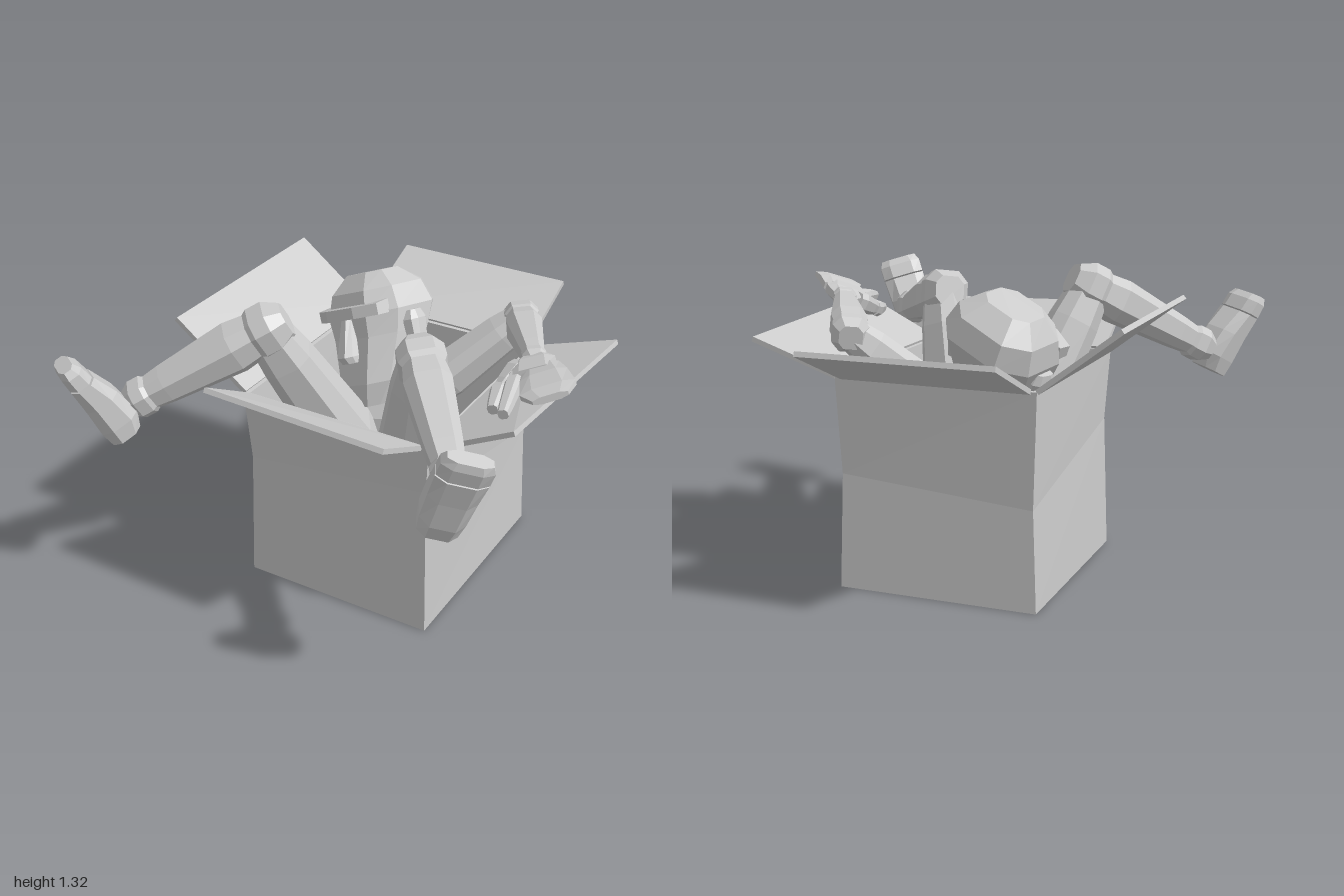
import * as THREE from 'three';
import { ConvexGeometry } from 'three/addons/geometries/ConvexGeometry.js';

const V = (x, y, z) => new THREE.Vector3(x, y, z);
const material = new THREE.MeshStandardMaterial({ color: 0xcccccc, flatShading: true });

// Skins a stack of equal rings and caps both ends.
function skin(rings) {
  const n = rings[0].length;
  const pos = [];
  const tri = (...pts) => pts.forEach((p) => pos.push(p.x, p.y, p.z));
  for (let r = 0; r + 1 < rings.length; r++) {
    for (let i = 0; i < n; i++) {
      const j = (i + 1) % n;
      const [a, b] = [rings[r], rings[r + 1]];
      tri(a[i], a[j], b[j]);
      tri(a[i], b[j], b[i]);
    }
  }
  const last = rings[rings.length - 1];
  for (let i = 1; i + 1 < n; i++) {
    tri(rings[0][0], rings[0][i + 1], rings[0][i]);
    tri(last[0], last[i], last[i + 1]);
  }
  const geo = new THREE.BufferGeometry();
  geo.setAttribute('position', new THREE.Float32BufferAttribute(pos, 3));
  geo.computeVertexNormals();
  return geo;
}

function add(parent, name, geo) {
  const mesh = new THREE.Mesh(geo, material);
  mesh.name = name;
  parent.add(mesh);
  return mesh;
}

// Chamfered block along local y; each section is [y, halfWidth, zBack, zFront].
function block(parent, name, sections) {
  return add(parent, name, skin(sections.map(([y, w, zb, zf]) => {
    const c = w * 0.55, m = (zb + zf) / 2, h = ((zf - zb) / 2) * 0.5;
    return [V(w, y, m + h), V(w, y, m - h), V(c, y, zb), V(-c, y, zb),
      V(-w, y, m - h), V(-w, y, m + h), V(-c, y, zf), V(c, y, zf)];
  })));
}

// Moves an object to origin with its y along dir and its z towards front.
function place(obj, origin, dir, front) {
  const y = dir.clone().normalize();
  const x = y.clone().cross(front).normalize();
  obj.quaternion.setFromRotationMatrix(new THREE.Matrix4().makeBasis(x, y, x.clone().cross(y)));
  obj.position.copy(origin);
  return obj;
}

// Tapered limb segment between two points.
function limb(parent, name, a, b, ra, rb, front = V(0, 1, 0.2)) {
  const d = b.clone().sub(a), l = d.length(), m = Math.max(ra, rb) * 1.03;
  place(block(parent, name, [[0, ra * 0.85, -ra * 0.85, ra * 0.85], [l * 0.25, m, -m, m],
    [l * 0.8, rb * 1.05, -rb * 1.05, rb * 1.05], [l, rb * 0.85, -rb * 0.85, rb * 0.85]]), a, d, front);
}

// Short faceted joint centred on a point.
function joint(parent, name, p, r, dir) {
  place(block(parent, name, [[-r, r * 0.65, -r * 0.65, r * 0.65], [-r * 0.35, r, -r, r],
    [r * 0.35, r, -r, r], [r, r * 0.65, -r * 0.65, r * 0.65]]), p, dir, V(0, 1, 0.2));
}

function buildBox(root) {
  const box = new THREE.Group();
  box.name = 'cardboardBox';
  // Open carton: the outer skin turns over the rim and down the inside.
  const rect = (x0, x1, z0, z1, ys, t = 0) => [V(x1 - t, ys[0], z1 - t), V(x1 - t, ys[1], z0 + t),
    V(x0 + t, ys[2], z0 + t), V(x0 + t, ys[3], z1 - t)];
  const flat = (y) => [y, y, y, y];
  const crease = [0.7, 0.5, 0.43, 0.6];
  add(box, 'boxWalls', skin([
    rect(-0.37, 0.515, -0.585, 0.405, flat(0)),
    rect(-0.35, 0.5, -0.57, 0.395, crease),
    rect(-0.37, 0.515, -0.59, 0.41, flat(0.92)),
    rect(-0.37, 0.515, -0.59, 0.41, flat(0.92), 0.02),
    rect(-0.35, 0.5, -0.57, 0.395, crease, 0.02),
    rect(-0.37, 0.515, -0.585, 0.405, flat(0.02), 0.02),
  ]));
  // Flaps: two hinge corners, then two tip corners.
  const flaps = {
    frontFlap: [V(-0.345, 0.92, 0.41), V(0.485, 0.92, 0.41), V(0.485, 1.07, 0.715), V(-0.345, 1.09, 0.705)],
    backFlap: [V(-0.345, 0.92, -0.59), V(0.485, 0.92, -0.59), V(0.485, 1.08, -0.965), V(-0.345, 1.08, -0.965)],
    leftFlap: [V(0.515, 0.92, -0.59), V(0.515, 0.92, 0.405), V(0.87, 1.1, 0.4), V(0.9, 1.05, -0.59)],
    rightFlap: [V(-0.37, 0.92, -0.59), V(-0.37, 0.92, 0.4), V(-0.71, 1.18, 0.4), V(-0.71, 1.18, -0.59)],
  };
  for (const [name, c] of Object.entries(flaps)) {
    const n = c[1].clone().sub(c[0]).cross(c[3].clone().sub(c[0])).setLength(0.011);
    add(box, name, new ConvexGeometry(c.flatMap((p) => [p.clone().add(n), p.clone().sub(n)])));
  }
  root.add(box);
}

function buildHead(figure) {
  const head = new THREE.Group();
  head.name = 'head';
  block(head, 'skull', [[-0.3, 0.09, 0.03, 0.19], [-0.2, 0.16, -0.1, 0.2], [0, 0.21, -0.2, 0.16],
    [0.1, 0.23, -0.25, 0.16], [0.2, 0.2, -0.22, 0.13], [0.275, 0.12, -0.13, 0.06]]);
  // Heavy brow, bent back at both ends.
  const brow = [-0.2, -0.09, 0.09, 0.2].map((x) => {
    const z = Math.abs(x) > 0.1 ? 0.15 : 0.2;
    return [V(x, 0.09, z), V(x, 0.14, z), V(x, 0.15, 0.08), V(x, 0.09, 0.08)].reverse();
  });
  add(head, 'brow', skin(brow));
  block(head, 'nose', [[-0.1, 0.04, 0.12, 0.22], [-0.07, 0.045, 0.12, 0.24], [0.1, 0.025, 0.1, 0.18]]);
  for (const s of [-1, 1]) {
    const ear = block(head, s > 0 ? 'leftEar' : 'rightEar', [[-0.1, 0.02, -0.04, 0.02],
      [-0.04, 0.035, -0.05, 0.045], [0.05, 0.04, -0.07, 0.05], [0.09, 0.025, -0.05, 0.03]]);
    ear.position.set(s * 0.225, -0.01, -0.02);
    ear.rotation.y = s * 0.25;
  }
  place(head, V(-0.1, 0.98, -0.26), V(-0.375, 0.889, -0.242), V(-0.31, 0.125, 0.94));
  figure.add(head);
}

function buildLeg(figure, side, hip, knee, ankle, heel, toe, sole) {
  const leg = new THREE.Group();
  leg.name = side + 'Leg';
  const shin = ankle.clone().sub(knee);
  limb(leg, 'thigh', hip, knee, 0.13, 0.1);
  joint(leg, 'knee', knee, 0.1, shin);
  limb(leg, 'shin', knee, ankle, 0.095, 0.07);
  joint(leg, 'ankle', ankle, 0.075, shin);
  // Foot with a separate toe cap; local z points out through the sole.
  const foot = new THREE.Group();
  foot.name = 'foot';
  const d = toe.clone().sub(heel), l = d.length();
  block(foot, 'footBody', [[-0.03, 0.08, -0.11, 0.025], [0.04, 0.09, -0.14, 0.035],
    [l * 0.45, 0.095, -0.12, 0.03], [l * 0.76, 0.1, -0.08, 0.03]]);
  block(foot, 'toeCap', [[l * 0.78, 0.1, -0.075, 0.03], [l * 0.95, 0.1, -0.065, 0.03],
    [l * 1.04, 0.085, -0.045, 0.02]]);
  leg.add(place(foot, heel, d, sole));
  figure.add(leg);
}

function buildArm(figure, side, shoulder, elbow, wrist, handDir, handUp) {
  const arm = new THREE.Group();
  arm.name = side + 'Arm';
  const fore = wrist.clone().sub(elbow);
  joint(arm, 'shoulder', shoulder, 0.1, V(0, 1, 0.3));
  limb(arm, 'upperArm', shoulder, elbow, 0.09, 0.075);
  joint(arm, 'elbow', elbow, 0.075, fore);
  limb(arm, 'forearm', elbow, wrist, 0.075, 0.05);
  joint(arm, 'wrist', wrist, 0.05, fore);
  // Open hand: palm, fan of closed fingers, a separate finger and a thumb.
  const hand = new THREE.Group();
  hand.name = 'hand';
  const s = side === 'left' ? 1 : -1;
  block(hand, 'palm', [[0, 0.05, -0.03, 0.03], [0.07, 0.09, -0.035, 0.04], [0.17, 0.1, -0.03, 0.035]]);
  const fan = block(hand, 'fingers', [[0, 0.075, -0.025, 0.03], [0.1, 0.095, -0.02, 0.035],
    [0.2, 0.11, -0.025, 0.02], [0.25, 0.07, -0.03, 0]]);
  fan.position.set(-s * 0.03, 0.13, 0);
  fan.rotation.z = s * 0.12;
  limb(hand, 'indexFinger', V(s * 0.07, 0.13, 0), V(s * 0.13, 0.39, -0.03), 0.032, 0.024, V(0, 0, 1));
  limb(hand, 'thumbBase', V(s * 0.05, 0.05, 0), V(s * 0.14, 0.14, -0.03), 0.045, 0.035, V(0, 0, 1));
  limb(hand, 'thumbTip', V(s * 0.14, 0.13, -0.03), V(s * 0.18, 0.28, -0.05), 0.035, 0.025, V(0, 0, 1));
  arm.add(place(hand, wrist, handDir, handUp));
  figure.add(arm);
}

export function createModel() {
  const root = new THREE.Group();
  root.name = 'figureInBox';
  buildBox(root);

  const figure = new THREE.Group();
  figure.name = 'figure';
  // Torso slumped inside the carton.
  place(block(figure, 'torso', [[-0.1, 0.13, -0.1, 0.1], [0, 0.18, -0.12, 0.12], [0.14, 0.15, -0.09, 0.1],
    [0.3, 0.21, -0.12, 0.13], [0.42, 0.17, -0.09, 0.08]]), V(0.08, 0.36, 0), V(-0.08, 0.36, -0.22), V(-0.1, 0.3, 0.9));
  limb(figure, 'neck', V(0, 0.66, -0.2), V(-0.06, 0.86, -0.24), 0.09, 0.08);
  buildHead(figure);

  buildLeg(figure, 'right', V(-0.01, 0.46, 0), V(-0.29, 1.21, 0.34), V(-0.71, 0.93, 0.66),
    V(-0.78, 0.8, 0.79), V(-0.905, 1.12, 0.9), V(-0.5, -0.4, 0.8));
  buildLeg(figure, 'left', V(0.2, 0.46, 0), V(0.36, 1.17, 0.19), V(0.74, 1.02, 0.66),
    V(0.775, 0.88, 0.81), V(0.9, 1.22, 0.84), V(0.45, -0.2, 0.85));

  buildArm(figure, 'left', V(0.14, 0.74, -0.27), V(0.48, 1.09, -0.51), V(0.73, 1.16, -0.08),
    V(0.4, 0.08, 0.9), V(-0.35, 0.93, 0));
  buildArm(figure, 'right', V(-0.2, 0.62, -0.22), V(-0.22, 0.4, -0.42), V(-0.2, 0.25, -0.1),
    V(0, -0.1, 1), V(0, 1, 0.1));
  root.add(figure);
  return root;
}
